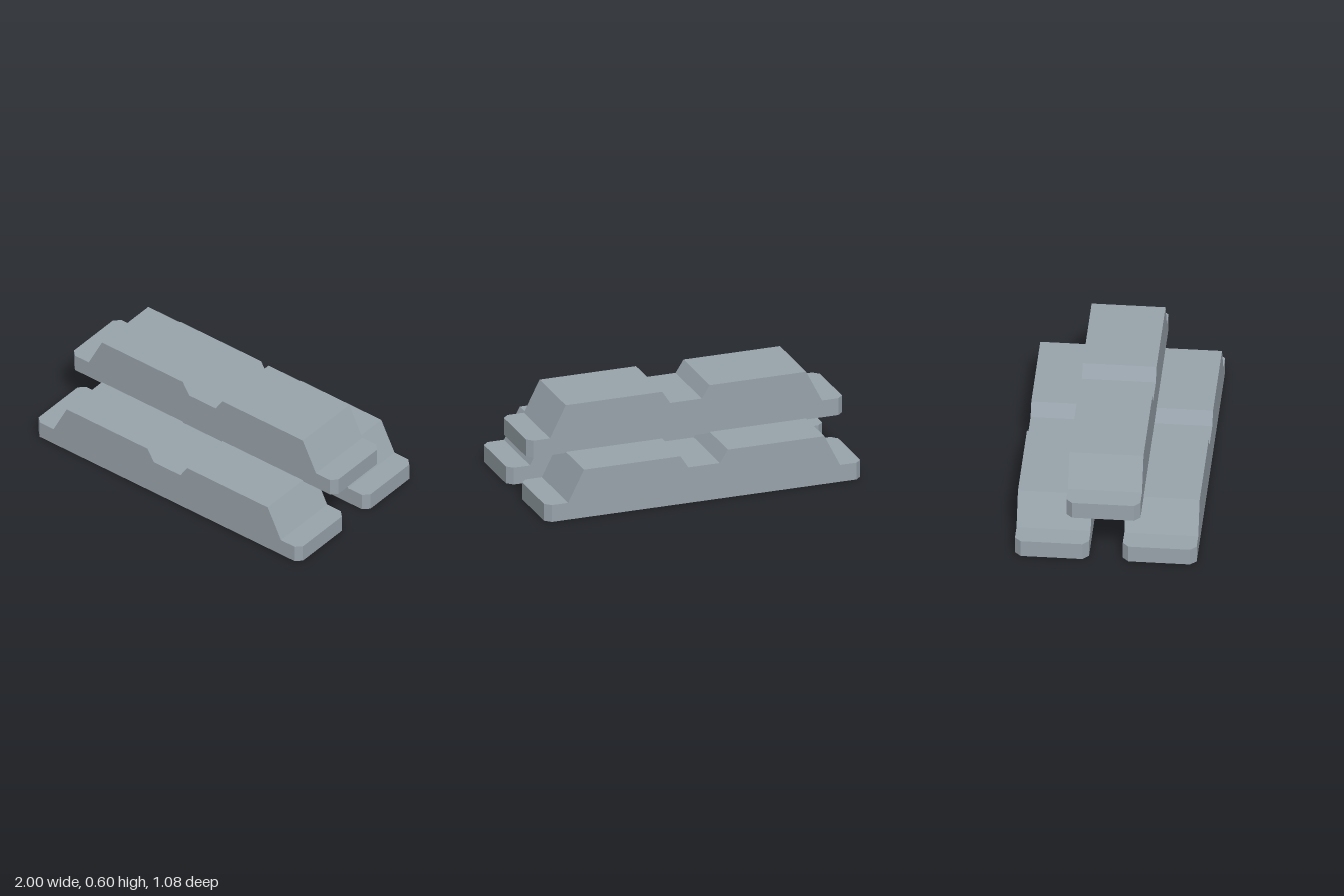
import * as THREE from 'three';

const WIDTH = 0.44;    // depth of one barrier along z
const CHAMFER = 0.036; // cut on the vertical end corners

// Long barrier: side profile extruded along z, with chamfered end corners
function barrierGeometry() {
  const half = [[1, 0], [1, 0.107], [0.86, 0.107], [0.76, 0.304], [0.15, 0.304], [0.1, 0.226]];
  const mirrored = half.map(([x, y]) => [-x, y]).reverse();
  const shape = new THREE.Shape([...half, ...mirrored].map(([x, y]) => new THREE.Vector2(x, y)));
  const geometry = new THREE.ExtrudeGeometry(shape, { depth: 3, steps: 3, bevelEnabled: false });

  // Place the four layers, then pull in the ends of the outer two
  const layers = [-WIDTH / 2, -WIDTH / 2 + CHAMFER, WIDTH / 2 - CHAMFER, WIDTH / 2];
  const pos = geometry.attributes.position;
  for (let i = 0; i < pos.count; i++) {
    const layer = Math.round(pos.getZ(i));
    const x = pos.getX(i);
    if ((layer === 0 || layer === 3) && Math.abs(x) > 0.99) pos.setX(i, Math.sign(x) * (1 - CHAMFER));
    pos.setZ(i, layers[layer]);
  }
  geometry.computeVertexNormals();
  return geometry;
}

export function createModel() {
  const group = new THREE.Group();
  group.name = 'barrierStack';
  const concrete = new THREE.MeshStandardMaterial({ color: 0x98a3ab });
  concrete.name = 'concrete grey';
  const geometry = barrierGeometry();

  // Two barriers on the ground, one resting across the gap
  const places = [
    ['frontBarrier', 0, 0.32],
    ['backBarrier', 0, -0.32],
    ['topBarrier', 0.297, -0.015],
  ];
  for (const [name, y, z] of places) {
    const barrier = new THREE.Mesh(geometry, concrete);
    barrier.name = name;
    barrier.position.set(0, y, z);
    group.add(barrier);
  }
  return group;
}
